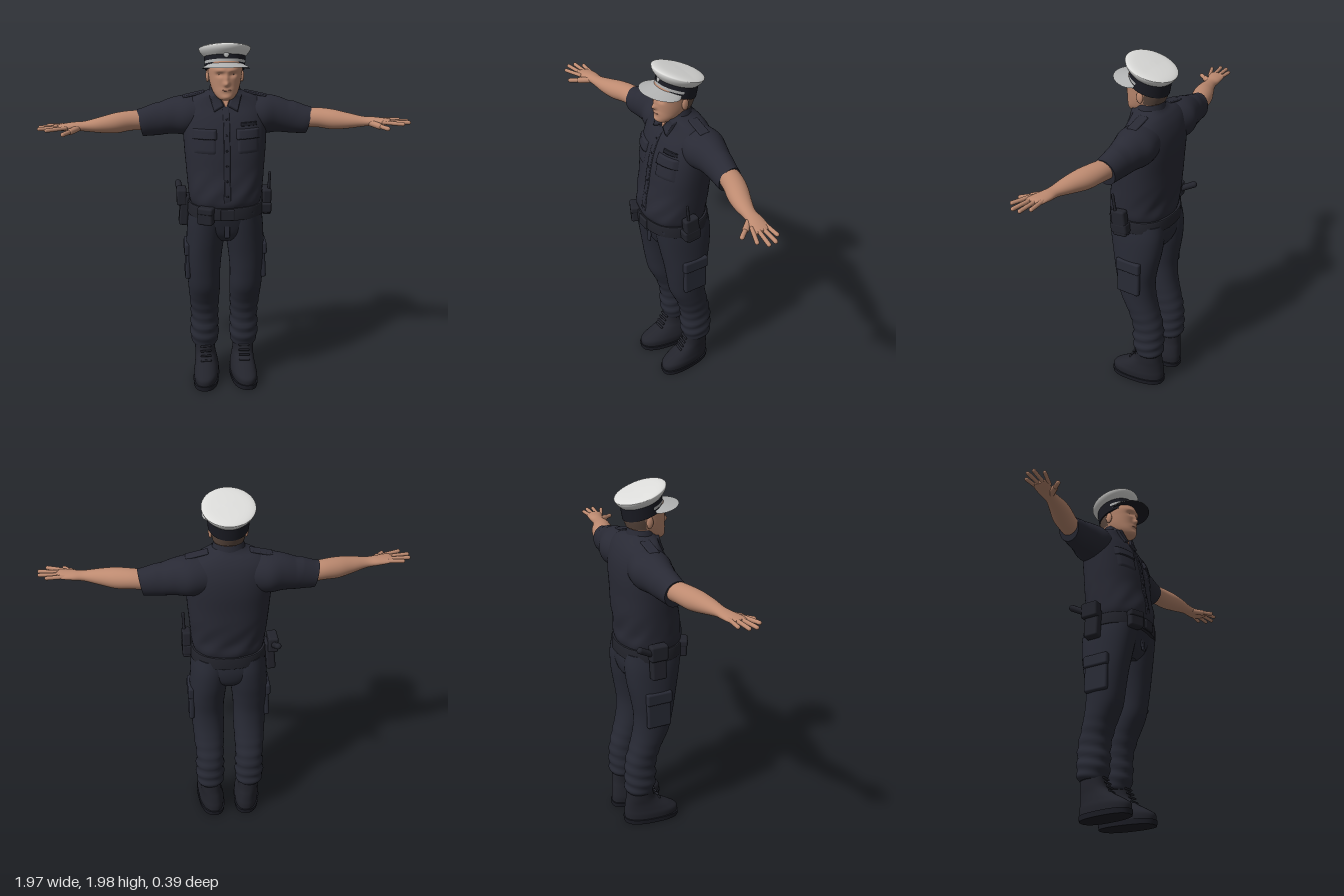
import * as THREE from 'three';
import { RoundedBoxGeometry } from 'three/addons/geometries/RoundedBoxGeometry.js';

const mat = (name, color, side = THREE.FrontSide) => {
  const m = new THREE.MeshStandardMaterial({ color, side });
  m.name = name;
  return m;
};

// Smooth interpolation through a list of cross-sections, f = 0..1
function sample(sec, f) {
  const s = f * (sec.length - 1), i = Math.min(Math.floor(s), sec.length - 2), t = s - i;
  const at = k => sec[Math.max(0, Math.min(sec.length - 1, k))];
  const [a, b, c, d] = [at(i - 1), at(i), at(i + 1), at(i + 2)];
  return b.map((p1, k) => 0.5 * (2 * p1 + (c[k] - a[k]) * t + (2 * a[k] - 5 * p1 + 4 * c[k] - d[k]) * t * t
    + (3 * p1 - a[k] - 3 * c[k] + d[k]) * t * t * t));
}

// Skin through sections [along, centreU, centreV, radiusU, radiusV]; rule(v) may move each point
function loft(sec, { axis = 'y', n = 2, seg = 40, steps = 6, a0 = 0, a1 = Math.PI * 2, cap = true, rule } = {}) {
  const closed = a1 - a0 > 6.28, cols = closed ? seg : seg + 1, rows = (sec.length - 1) * steps;
  const pos = [], idx = [], v = new THREE.Vector3();
  const pw = x => Math.sign(x) * Math.abs(x) ** (2 / n);
  for (let i = 0; i <= rows; i++) {
    const [t, cu, cv, ru, rv] = sample(sec, i / rows);
    for (let j = 0; j < cols; j++) {
      const a = a0 + (a1 - a0) * j / seg, c = pw(Math.cos(a)), s = pw(Math.sin(a));
      if (axis === 'y') v.set(cu + ru * c, t, cv + rv * s);
      else v.set(t, cu + ru * s, cv + rv * c);
      if (rule) rule(v, a);
      pos.push(v.x, v.y, v.z);
    }
  }
  for (let i = 0; i < rows; i++) for (let j = 0; j < seg; j++) {
    const k = (j + 1) % cols, a = i * cols + j, b = a + cols, c = i * cols + k, d = c + cols;
    idx.push(a, b, c, b, d, c);
  }
  if (cap && closed) for (const row of [0, rows]) {
    const base = pos.length / 3, mid = [0, 0, 0];
    for (let j = 0; j < cols; j++) for (let k = 0; k < 3; k++) {
      const p = pos[(row * cols + j) * 3 + k];
      pos.push(p); mid[k] += p / cols;
    }
    pos.push(...mid);
    for (let j = 0; j < cols; j++) {
      const a = base + j, b = base + (j + 1) % cols;
      idx.push(base + cols, row ? b : a, row ? a : b);
    }
  }
  return build(pos, idx);
}

function build(pos, idx) {
  const g = new THREE.BufferGeometry();
  g.setAttribute('position', new THREE.Float32BufferAttribute(pos, 3));
  g.setIndex(idx);
  g.computeVertexNormals();
  return g;
}

function mirror(geo) {
  const g = geo.clone().scale(-1, 1, 1);
  const idx = g.index ? [...g.index.array] : Array.from({ length: g.attributes.position.count }, (_, i) => i);
  g.setIndex(idx.reverse());
  return g;
}

const V = (x, y, z) => new THREE.Vector3(x, y, z);
function rod(a, b, r) {
  const d = b.clone().sub(a), g = new THREE.CapsuleGeometry(r, d.length(), 5, 12);
  g.applyQuaternion(new THREE.Quaternion().setFromUnitVectors(V(0, 1, 0), d.normalize()));
  const m = a.clone().add(b).multiplyScalar(0.5);
  return g.translate(m.x, m.y, m.z);
}
const box = (w, h, d, x, y, z, rx = 0, ry = 0, rz = 0, r = 0.012) =>
  new RoundedBoxGeometry(w, h, d, 3, Math.min(r, w / 2.1, h / 2.1, d / 2.1)).rotateX(rx).rotateY(ry).rotateZ(rz).translate(x, y, z);
const ball = (x, y, z, rx, ry, rz) => new THREE.SphereGeometry(1, 16, 12).scale(rx, ry, rz).translate(x, y, z);

const TORSO = [[1.105, 0, 0.004, 0.188, 0.165], [1.14, 0, 0.005, 0.198, 0.174], [1.2, 0, 0.003, 0.204, 0.172],
  [1.3, 0, -0.012, 0.212, 0.168], [1.4, 0, -0.02, 0.22, 0.163], [1.5, 0, -0.033, 0.225, 0.154],
  [1.58, 0, -0.045, 0.224, 0.135], [1.64, 0, -0.053, 0.21, 0.108], [1.68, 0, -0.048, 0.165, 0.088],
  [1.705, 0, -0.034, 0.1, 0.077], [1.725, 0, -0.028, 0.072, 0.068]];
const TN = 2.3;

// Depth of the shirt front at a given x, y
function torsoZ(x, y) {
  let lo = 0, hi = 1;
  for (let k = 0; k < 24; k++) {
    const m = (lo + hi) / 2;
    if (sample(TORSO, m)[0] < y) lo = m; else hi = m;
  }
  const [, , cz, rx, rz] = sample(TORSO, lo);
  return cz + rz * Math.max(0, 1 - Math.abs(x / rx) ** TN) ** (1 / TN);
}

// Raised cloth panel following the shirt; corners run bl, br, tr, tl
function panel(c, off) {
  const N = 12, pos = [], idx = [];
  for (let i = 0; i <= N; i++) for (let j = 0; j <= N; j++) {
    const u = j / N, v = i / N;
    const [x, y] = [0, 1].map(k => (c[0][k] * (1 - u) + c[1][k] * u) * (1 - v) + (c[3][k] * (1 - u) + c[2][k] * u) * v);
    const edge = i === 0 || j === 0 || i === N || j === N;
    pos.push(x, y, torsoZ(x, y) + (edge ? -0.002 : off));
    if (i < N && j < N) {
      const a = i * (N + 1) + j, b = a + N + 1;
      idx.push(a, a + 1, b, a + 1, b + 1, b);
    }
  }
  return build(pos, idx);
}
const rect = (x0, y0, x1, y1) => [[x0, y0], [x1, y0], [x1, y1], [x0, y1]];

export function createModel() {
  const model = new THREE.Group();
  const navy = mat('navy cloth', 0x292a35, THREE.DoubleSide), trouser = mat('trouser cloth', 0x282a35);
  const leather = mat('black leather', 0x23242c), skin = mat('skin', 0xbd8a70), lip = mat('lips', 0xa06a58);
  const white = mat('white cap cloth', 0xdcdcda), grey = mat('grey visor', 0xb2b3b3, THREE.DoubleSide);
  const band = mat('cap band', 0x1b1c24), hair = mat('short hair', 0x5d4a40), eye = mat('eye', 0x4a3a34);
  const add = (name, geo, m, parent = model) => {
    const mesh = new THREE.Mesh(geo, m);
    mesh.name = name;
    parent.add(mesh);
    return mesh;
  };
  const pair = (name, geo, m) => {
    add(name + 'Left', geo, m);
    add(name + 'Right', mirror(geo), m);
  };

  // Shirt
  add('shirt', loft(TORSO, { n: TN, seg: 56, rule: (v, a) => {
    const low = Math.max(0, 1 - Math.abs(v.y - 1.19) / 0.14);
    v.z += 0.004 * low * Math.sin(a * 9 + v.y * 40);
  } }), navy);
  pair('sleeve', loft([[0.1, 1.575, -0.06, 0.1, 0.1], [0.2, 1.573, -0.064, 0.107, 0.113], [0.28, 1.57, -0.064, 0.098, 0.09],
    [0.36, 1.553, -0.058, 0.086, 0.073], [0.43, 1.54, -0.05, 0.075, 0.066], [0.455, 1.537, -0.049, 0.073, 0.063]],
  { axis: 'x', rule: v => { v.x += v.x > 0.35 ? (v.y - 1.54) * 0.2 : 0; } }), navy);
  add('buttonStrip', panel(rect(-0.018, 1.125, 0.018, 1.64), 0.004), navy);
  pair('chestPocket', panel(rect(0.055, 1.4, 0.175, 1.53), 0.006), navy);
  pair('pocketFlap', panel([[0.05, 1.475], [0.18, 1.475], [0.178, 1.53], [0.052, 1.53]], 0.014), navy);
  add('nameTape', panel(rect(0.075, 1.542, 0.165, 1.562), 0.007), band);
  for (let i = 0; i < 6; i++) {
    const y = 1.18 + i * 0.08;
    add('button', ball(0, y, torsoZ(0, y) + 0.004, 0.006, 0.006, 0.003), band);
  }
  pair('epaulette', box(0.12, 0.012, 0.055, 0.165, 1.687, -0.055, 0, 0, -0.22), navy);
  add('neckOpening', panel([[-0.002, 1.635], [0.002, 1.635], [0.048, 1.72], [-0.048, 1.72]], 0.005), skin);
  pair('collarFlap', panel([[0.008, 1.64], [0.062, 1.612], [0.088, 1.698], [0.045, 1.718]], 0.014), navy);
  add('collarStand', loft([[1.69, 0, -0.03, 0.09, 0.08], [1.745, 0, -0.03, 0.077, 0.068]],
    { a0: -Math.PI - 0.75, a1: 0.75, cap: false }), navy);

  // Arms and hands
  pair('forearm', loft([[0.42, 1.55, -0.052, 0.052, 0.053], [0.5, 1.553, -0.035, 0.053, 0.058], [0.58, 1.547, -0.01, 0.054, 0.06],
    [0.66, 1.544, 0.016, 0.042, 0.049], [0.74, 1.543, 0.036, 0.027, 0.035], [0.8, 1.545, 0.045, 0.022, 0.041],
    [0.86, 1.545, 0.06, 0.016, 0.047], [0.885, 1.545, 0.064, 0.009, 0.036]], { axis: 'x' }), skin);
  const fingers = [[0.84, 0.025, 0.935, 0.022], [0.85, 0.05, 0.973, 0.058], [0.85, 0.075, 0.975, 0.097], [0.84, 0.095, 0.935, 0.134]];
  for (const [x0, z0, x1, z1] of fingers) pair('finger', rod(V(x0, 1.548, z0), V(x1, 1.546, z1), 0.0105), skin);
  pair('thumbBase', rod(V(0.77, 1.54, 0.055), V(0.815, 1.532, 0.11), 0.017), skin);
  pair('thumb', rod(V(0.81, 1.533, 0.105), V(0.85, 1.528, 0.155), 0.012), skin);

  // Trousers
  pair('trouserLeg', loft([[0.205, 0.113, -0.094, 0.062, 0.072], [0.235, 0.113, -0.095, 0.078, 0.084], [0.3, 0.114, -0.091, 0.08, 0.089],
    [0.4, 0.113, -0.087, 0.078, 0.088], [0.5, 0.115, -0.06, 0.084, 0.09], [0.6, 0.117, -0.027, 0.09, 0.102],
    [0.7, 0.12, -0.015, 0.093, 0.11], [0.8, 0.118, -0.015, 0.1, 0.126], [0.9, 0.109, -0.015, 0.105, 0.145],
    [1.0, 0.1, -0.01, 0.107, 0.158], [1.08, 0.095, 0, 0.1, 0.16]], { n: 2.15, rule: (v, a) => {
    const f = 0.005 * Math.max(0, 1 - Math.abs(v.y - 0.32) / 0.25) * Math.sin(v.y * 95 + 2 * Math.sin(a));
    v.x += f * Math.cos(a); v.z += f * Math.sin(a);
  } }), trouser);
  add('hips', loft([[0.9, 0, -0.015, 0.06, 0.11], [0.94, 0, -0.014, 0.14, 0.14], [1.0, 0, -0.01, 0.195, 0.157],
    [1.07, 0, 0, 0.2, 0.165], [1.11, 0, 0.003, 0.193, 0.165]], { n: 2.3 }), trouser);
  add('fly', box(0.03, 0.11, 0.012, 0, 0.99, 0.143, -0.12), trouser);
  pair('cargoPocket', box(0.03, 0.2, 0.14, 0.207, 0.76, -0.02, 0, 0, 0.05), trouser);
  pair('cargoFlap', box(0.036, 0.07, 0.15, 0.211, 0.835, -0.02, 0, 0, 0.05), trouser);

  // Boots
  const splay = v => { v.x += 0.1 * (v.z + 0.1); };
  pair('boot', loft([[0.022, 0.1, -0.02, 0.068, 0.155], [0.06, 0.1, -0.021, 0.072, 0.156], [0.09, 0.101, -0.04, 0.068, 0.135],
    [0.13, 0.105, -0.072, 0.061, 0.1], [0.17, 0.11, -0.09, 0.058, 0.078], [0.25, 0.112, -0.094, 0.06, 0.072]],
  { n: 2.3, rule: splay }), leather);
  pair('sole', loft([[0, 0.1, -0.02, 0.072, 0.158], [0.028, 0.1, -0.02, 0.075, 0.161]], { n: 2.5, steps: 1, rule: splay }), band);
  for (let i = 0; i < 5; i++)
    pair('lace', rod(V(0.085, 0.11 + i * 0.025, 0.03 - i * 0.012), V(0.137, 0.11 + i * 0.025, 0.034 - i * 0.012), 0.006), leather);

  // Belt and gear
  add('belt', loft([[1.045, 0, 0.002, 0.203, 0.176], [1.05, 0, 0.002, 0.207, 0.18], [1.108, 0, 0.002, 0.205, 0.18],
    [1.113, 0, 0.002, 0.2, 0.176]], { n: 2.3, steps: 1 }), leather);
  add('buckle', box(0.075, 0.062, 0.016, 0, 1.078, 0.183), leather);
  add('beltPouch', box(0.085, 0.095, 0.05, -0.115, 1.07, 0.165, 0, -0.45), leather);
  add('pouchFlap', box(0.09, 0.04, 0.056, -0.115, 1.1, 0.166, 0, -0.45), leather);
  add('holster', box(0.05, 0.17, 0.085, -0.225, 1.05, -0.035, 0, 0, -0.08), leather);
  add('holsterTop', box(0.055, 0.09, 0.1, -0.238, 1.125, -0.04), leather);
  add('sidearmGrip', rod(V(-0.24, 1.12, -0.07), V(-0.253, 1.165, -0.152), 0.018), leather);
  add('radio', box(0.048, 0.15, 0.085, 0.225, 1.11, 0.02, 0.12), leather);
  add('radioClip', box(0.06, 0.06, 0.1, 0.22, 1.08, 0.02, 0.12), leather);
  add('antenna', rod(V(0.235, 1.17, 0.042), V(0.238, 1.272, 0.055), 0.008), leather);

  // Head with sculpted face
  add('neck', loft([[1.62, 0, -0.04, 0.068, 0.062], [1.7, 0, -0.027, 0.066, 0.066], [1.79, 0, -0.025, 0.066, 0.068]]), skin);
  const bump = (v, x, y, sx, sy) => Math.exp(-(((Math.abs(v.x) - x) / sx) ** 2) - ((v.y - y) / sy) ** 2);
  const HEAD = [[1.675, 0, 0.055, 0.01, 0.014], [1.683, 0, 0.046, 0.038, 0.046], [1.71, 0, 0.02, 0.063, 0.079],
    [1.75, 0, -0.002, 0.079, 0.1], [1.8, 0, -0.01, 0.088, 0.11], [1.85, 0, -0.013, 0.092, 0.113], [1.9, 0, -0.018, 0.08, 0.095]];
  add('head', loft(HEAD, { n: 2.25, seg: 96, steps: 10, rule: v => {
    if (v.z < 0.03) return;
    v.z += 0.021 * bump(v, 0, 1.768, 0.014, 0.014) + 0.011 * bump(v, 0, 1.795, 0.011, 0.022)
      - 0.011 * bump(v, 0.034, 1.815, 0.02, 0.012) + 0.005 * bump(v, 0.03, 1.838, 0.03, 0.01)
      + 0.006 * bump(v, 0, 1.737, 0.026, 0.012) + 0.007 * bump(v, 0, 1.697, 0.025, 0.014);
  } }), skin);
  add('mouth', ball(0, 1.734, 0.099, 0.024, 0.004, 0.006), lip);
  pair('eye', ball(0.034, 1.815, 0.077, 0.012, 0.004, 0.008), eye);
  pair('eyebrow', box(0.034, 0.006, 0.006, 0.035, 1.834, 0.091, 0, 0.3, -0.08), hair);
  pair('ear', ball(0.092, 1.79, -0.02, 0.01, 0.033, 0.019).rotateX(0), skin);
  add('hair', loft(HEAD.slice(3).map(([y, u, z, rx, rz]) => [y, u, z, rx + 0.004, rz + 0.004]),
    { n: 2.25, a0: Math.PI + 0.25, a1: 2 * Math.PI - 0.25, cap: false }), hair);

  // Peaked cap, tipped back
  const cap = new THREE.Group();
  cap.name = 'peakedCap';
  cap.position.set(0, 1.822, -0.02);
  cap.rotation.x = -0.31;
  model.add(cap);
  add('capBand', loft([[0, 0, 0, 0.104, 0.11], [0.068, 0, 0.012, 0.11, 0.113]], { seg: 56, steps: 2 }), band, cap);
  add('capCrown', loft([[0.064, 0, 0.012, 0.108, 0.111], [0.082, 0, 0.016, 0.125, 0.128], [0.1, 0, 0.02, 0.136, 0.139],
    [0.11, 0, 0.02, 0.134, 0.136], [0.117, 0, 0.02, 0.1, 0.1], [0.12, 0, 0.02, 0.02, 0.02]],
  { seg: 64, rule: v => { if (v.y > 0.09) v.y += Math.max(0, v.z) * 1.6 * (v.y - 0.09); } }), white, cap);
  // Curved visor: bright on top, dark beneath
  const visor = (drop, flip) => {
    const pos = [], idx = [], N = 28, M = 6;
    for (let i = 0; i <= M; i++) for (let j = 0; j <= N; j++) {
      const a = (j / N - 0.5) * 2.5, s = i / M, r = 0.106 + s * 0.092 * Math.cos(a * 1.25) ** 0.6;
      pos.push(r * Math.sin(a), 0.028 - 0.045 * s * Math.cos(a) - 0.012 * (1 - Math.cos(a)) - drop, r * Math.cos(a));
      if (i < M && j < N) {
        const p = i * (N + 1) + j, q = p + N + 1;
        idx.push(...(flip ? [p, p + 1, q, p + 1, q + 1, q] : [p, q, p + 1, p + 1, q, q + 1]));
      }
    }
    return build(pos, idx);
  };
  add('visorTop', visor(0, false), grey, cap);
  add('visorUnderside', visor(0.005, true), band, cap);
  add('capStrap', loft([[0.028, 0, 0.004, 0.109, 0.115], [0.042, 0, 0.006, 0.11, 0.116]],
    { a0: 0.2, a1: Math.PI - 0.2, cap: false }), grey, cap);
  add('capBadge', ball(0, 0.062, 0.126, 0.014, 0.016, 0.005), grey, cap);
  return model;
}
